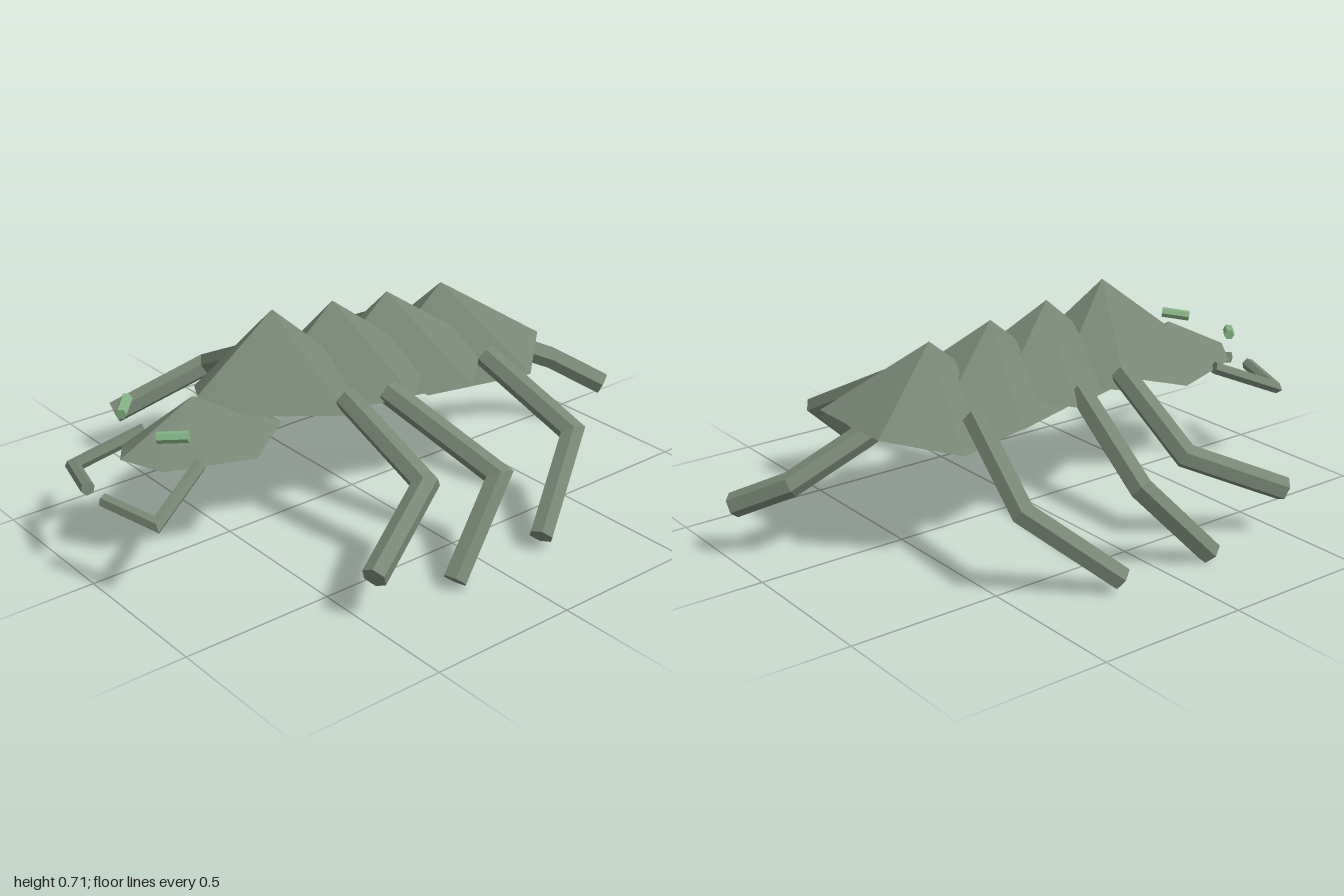
import * as THREE from 'three';
import { toCreasedNormals } from 'three/addons/utils/BufferGeometryUtils.js';

function meshFrom(points, index, material, name, crease) {
  let geo = new THREE.BufferGeometry();
  geo.setAttribute('position', new THREE.Float32BufferAttribute(points.flatMap((p) => [p.x, p.y, p.z]), 3));
  geo.setIndex(index);
  geo = toCreasedNormals(geo, crease);
  const mesh = new THREE.Mesh(geo, material);
  mesh.name = name;
  return mesh;
}

// Seven-sided shield plate: pointed front, flat back, one peak.
// ys: base heights at the tip, shoulder, widest and back corners.
function shell(name, material, { z, top, rx, rz, ys }) {
  const half = [[0, 1], [0.57, 0.71], [1, -0.36], [0.5, -1]];
  const left = half.map(([u, w], i) => new THREE.Vector3(u * rx, ys[i], z + w * rz));
  const right = left.slice(1).reverse().map((p) => new THREE.Vector3(-p.x, p.y, p.z));
  const rim = [...left, ...right];
  const n = rim.length;
  const baseY = rim.reduce((s, p) => s + p.y, 0) / n;
  const points = [...rim, new THREE.Vector3(0, top, z), new THREE.Vector3(0, baseY, z)];
  const index = [];
  for (let i = 0; i < n; i++) {
    const j = (i + 1) % n;
    index.push(i, j, n, j, i, n + 1);
  }
  return meshFrom(points, index, material, name, 0.5);
}

// Six-sided jointed rod with mitred bends and flat ends.
function limb(name, material, path, radius, sides = 6) {
  const P = path.map((p) => new THREE.Vector3(...p));
  const dirs = P.slice(1).map((p, i) => p.clone().sub(P[i]).normalize());
  const u = new THREE.Vector3(0, 1, 0).cross(dirs[0]).normalize();
  const v = dirs[0].clone().cross(u);
  let offsets = [];
  for (let k = 0; k < sides; k++) {
    const a = (k / sides) * Math.PI * 2;
    offsets.push(u.clone().multiplyScalar(Math.cos(a) * radius).addScaledVector(v, Math.sin(a) * radius));
  }
  const points = [];
  P.forEach((p, i) => {
    const d0 = dirs[Math.max(i - 1, 0)];
    const d1 = dirs[Math.min(i, dirs.length - 1)];
    const normal = d0.clone().add(d1);
    const ring = offsets.map((o) => o.clone().addScaledVector(d0, -o.dot(normal) / d0.dot(normal)));
    ring.forEach((o) => points.push(o.clone().add(p)));
    offsets = ring.map((o) => o.clone().addScaledVector(d1, -o.dot(d1)));
  });
  const index = [];
  const last = (P.length - 1) * sides;
  for (let k = 0; k < sides; k++) {
    const m = (k + 1) % sides;
    for (let r = 0; r < last; r += sides) {
      index.push(r + k, r + m, r + sides + m, r + k, r + sides + m, r + sides + k);
    }
    if (k > 0 && k < sides - 1) index.push(0, m, k, last, last + k, last + m);
  }
  return meshFrom(points, index, material, name, 0.3);
}

export function createModel() {
  const group = new THREE.Group();
  const shellMat = new THREE.MeshStandardMaterial({ color: 0x788775 });
  shellMat.name = 'greyGreenShell';
  const eyeMat = new THREE.MeshStandardMaterial({ color: 0x86b486 });
  eyeMat.name = 'paleGreenEye';

  // Head and overlapping body plates
  const plates = [
    ['head', { z: 0.62, top: 0.52, rx: 0.2, rz: 0.26, ys: [0.39, 0.37, 0.36, 0.395] }],
    ['frontPlate', { z: 0.315, top: 0.725, rx: 0.25, rz: 0.285, ys: [0.515, 0.475, 0.425, 0.45] }],
    ['secondPlate', { z: 0.08, top: 0.695, rx: 0.28, rz: 0.29, ys: [0.45, 0.415, 0.43, 0.465] }],
    ['thirdPlate', { z: -0.145, top: 0.67, rx: 0.305, rz: 0.295, ys: [0.43, 0.395, 0.415, 0.46] }],
    ['rearPlate', { z: -0.38, top: 0.645, rx: 0.33, rz: 0.3, ys: [0.4, 0.36, 0.395, 0.44] }],
  ];
  for (const [name, spec] of plates) group.add(shell(name, shellMat, spec));

  // Paired legs, feelers and eyes, given for the left side
  const pairs = [
    ['FrontLeg', shellMat, 0.04, [[0.23, 0.48, 0.21], [0.57, 0.31, 0.18], [0.7, 0.165, 0.485]]],
    ['MiddleLeg', shellMat, 0.04, [[0.23, 0.45, 0.04], [0.635, 0.285, -0.06], [0.7, 0.035, 0.17]]],
    ['RearLeg', shellMat, 0.04, [[0.23, 0.46, -0.375], [0.565, 0.285, -0.45], [0.7, 0.055, -0.19]]],
    ['Feeler', shellMat, 0.022, [[0.15, 0.375, 0.7], [0.235, 0.285, 0.91], [0.045, 0.305, 0.97]]],
    ['Eye', eyeMat, 0.018, [[0.17, 0.49, 0.745], [0.1, 0.48, 0.81]]],
  ];
  for (const [name, mat, radius, path] of pairs) {
    for (const [side, s] of [['left', 1], ['right', -1]]) {
      group.add(limb(side + name, mat, path.map(([x, y, z]) => [x * s, y, z]), radius));
    }
  }

  // Bent tail
  group.add(limb('tail', shellMat, [[0.01, 0.41, -0.56], [0.07, 0.265, -0.85], [0.215, 0.18, -0.97]], 0.04));
  return group;
}
